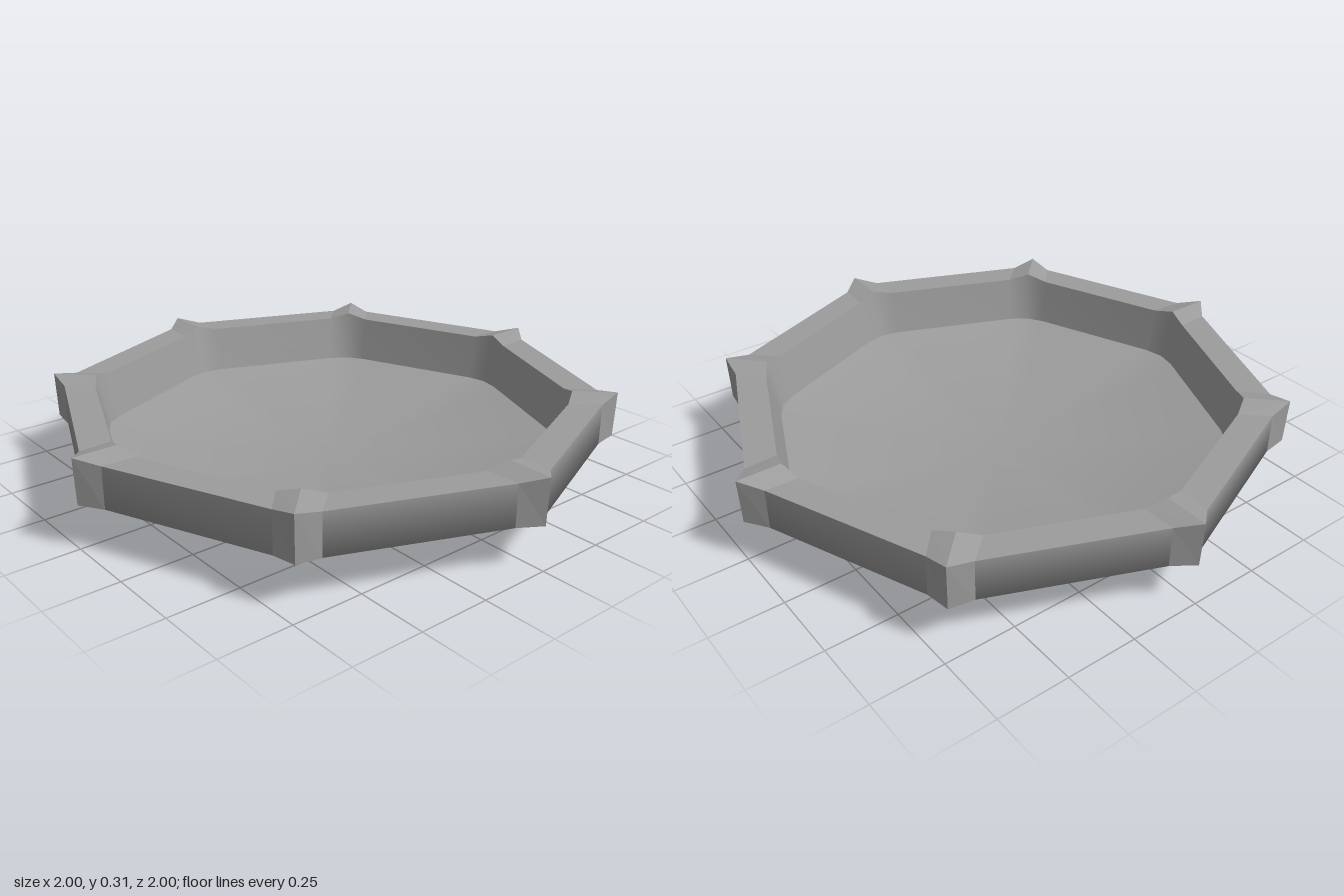
import * as THREE from 'three';
import { mergeVertices } from 'three/addons/utils/BufferGeometryUtils.js';

const SIDES = 8;

// Ring of 24 points: each corner has a shoulder, a tip and a shoulder.
// tip radius/height, shoulder radial distance, half width and height
function ring(tipR, tipY, sideR, half, sideY) {
  const pts = [];
  for (let k = 0; k < SIDES; k++) {
    const a = (k / SIDES) * Math.PI * 2, c = Math.cos(a), s = Math.sin(a);
    for (const [r, t, y] of [[sideR, -half, sideY], [tipR, 0, tipY], [sideR, half, sideY]]) {
      pts.push(new THREE.Vector3(r * c - t * s, y, r * s + t * c));
    }
  }
  return pts;
}

// Triangles joining two rings, for the chosen segments only
function band(a, b, use = () => true) {
  const out = [];
  const tri = (p, q, r) => {
    const area = q.clone().sub(p).cross(r.clone().sub(p)).length();
    if (area > 1e-7) out.push(p, q, r);
  };
  for (let i = 0; i < a.length; i++) {
    if (!use(i)) continue;
    const j = (i + 1) % a.length;
    tri(a[i], b[i], b[j]);
    tri(a[i], b[j], a[j]);
  }
  return out;
}

export function createModel() {
  const group = new THREE.Group();
  const material = new THREE.MeshStandardMaterial({ color: 0x9c9c9c });

  const add = (name, points, smooth = false) => {
    let geometry = new THREE.BufferGeometry().setFromPoints(points);
    if (smooth) geometry = mergeVertices(geometry);
    geometry.computeVertexNormals();
    const mesh = new THREE.Mesh(geometry, material);
    mesh.name = name;
    group.add(mesh);
  };

  // Cross-section rings, from the underside up and over into the basin
  const baseCentre = ring(0, 0, 0, 0, 0);
  const foot = ring(0.59, 0, 0.59, 0, 0);
  const eave = ring(0.89, 0.13, 0.94, 0.07, 0.145);
  const postFoot = ring(0.995, 0.15, 0.94, 0.07, 0.145);
  const rimOuter = ring(1, 0.31, 0.94, 0.07, 0.29);
  const rimInner = ring(0.845, 0.31, 0.825, 0.075, 0.29);

  // Rings of the shallow dished floor, from its edge to the middle
  const dish = [1, 0.8, 0.6, 0.4, 0.2, 0].map((f) => {
    const y = 0.04 + 0.085 * f * f;
    return ring(0.805 * f, y, 0.79 * f, 0.07 * f, y);
  });

  const isWall = (i) => i % 3 === 2;

  add('base', band(baseCentre, foot));
  // Sloping underside flowing softly into the upright panels
  add('outerShell', [...band(foot, eave), ...band(eave, rimOuter, isWall)], true);
  add('rim', band(rimOuter, rimInner));
  add('innerWall', band(rimInner, dish[0]), true);
  add('floor', dish.slice(1).flatMap((inner, i) => band(dish[i], inner)), true);

  // Pointed posts on the corners
  for (let k = 0; k < SIDES; k++) {
    const isPost = (i) => Math.floor(i / 3) === k && !isWall(i);
    add('cornerPost' + (k + 1), [
      ...band(eave, postFoot, isPost),
      ...band(postFoot, rimOuter, isPost),
    ]);
  }
  return group;
}
